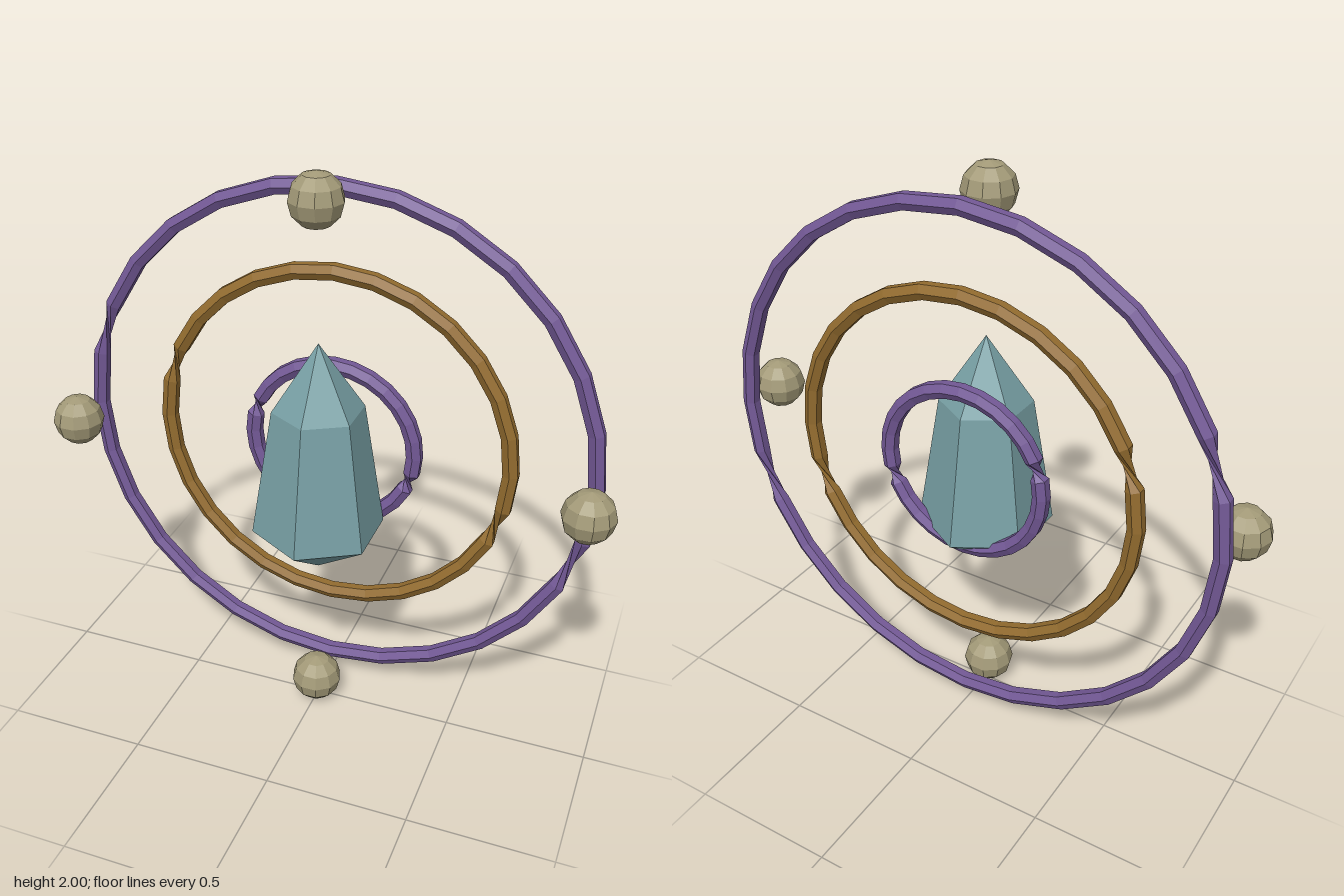
import * as THREE from 'three';

const flat = (name, color, extra = {}) => {
  const m = new THREE.MeshStandardMaterial({ color, flatShading: true, ...extra });
  m.name = name;
  return m;
};

// Six-sided ring in the XY plane; the section turns over at two joints, pinching the tube there
function ringGeometry(radius, tube, segments = 28, sides = 6) {
  const pos = [], index = [];
  for (let i = 0; i < segments; i++) {
    const t = (i / segments) * Math.PI * 2;
    const out = new THREE.Vector3(Math.cos(t), Math.sin(t), 0);
    const tangent = new THREE.Vector3(-out.y, out.x, 0);
    const flip = Math.abs(out.x) > 0.95 ? Math.sign(out.x) : Math.sign(out.y);
    const n = new THREE.Vector3(0, 0, flip);
    const b = tangent.clone().cross(n);
    for (let j = 0; j < sides; j++) {
      const a = (j / sides) * Math.PI * 2;
      const p = out.clone().multiplyScalar(radius)
        .addScaledVector(n, Math.cos(a) * tube)
        .addScaledVector(b, Math.sin(a) * tube);
      pos.push(p.x, p.y, p.z);
      const k = (j + 1) % sides, row = i * sides, next = ((i + 1) % segments) * sides;
      index.push(row + j, row + k, next + k, row + j, next + k, next + j);
    }
  }
  const g = new THREE.BufferGeometry();
  g.setAttribute('position', new THREE.Float32BufferAttribute(pos, 3));
  g.setIndex(index);
  const split = g.toNonIndexed();
  split.computeVertexNormals();
  return split;
}

export function createModel() {
  const group = new THREE.Group();
  group.name = 'crystalWithRings';
  const crystalMat = flat('paleTeal', 0x78a0a5);
  const purple = flat('purple', 0x735996, { side: THREE.DoubleSide });
  const bronze = flat('bronze', 0x936c2f, { side: THREE.DoubleSide });
  const sand = flat('sand', 0xa39a78);

  const add = (name, geometry, material, x, y, z) => {
    const mesh = new THREE.Mesh(geometry, material);
    mesh.name = name;
    mesh.position.set(x, y, z);
    group.add(mesh);
  };

  // Hexagonal crystal, pointed at both ends
  const profile = [[0, 0.575], [0.23, 0.745], [0.157, 1.2], [0, 1.435]]
    .map(([r, y]) => new THREE.Vector2(r, y));
  add('crystal', new THREE.LatheGeometry(profile, 6), crystalMat, 0, 0, 0);

  // Concentric rings behind the crystal
  [['innerRing', 0.294, purple], ['middleRing', 0.626, bronze], ['outerRing', 0.908, purple]]
    .forEach(([name, r, mat]) => add(name, ringGeometry(r, 0.03), mat, 0, 1, -0.143));

  // Four beads around the outer ring
  const bead = new THREE.SphereGeometry(0.09, 10, 6);
  [['leftBead', 1, 0], ['topBead', 0, 1], ['rightBead', -1, 0], ['bottomBead', 0, -1]]
    .forEach(([name, x, y]) => add(name, bead, sand, x * 0.91, 1 + y * 0.91, 0.018));

  return group;
}
